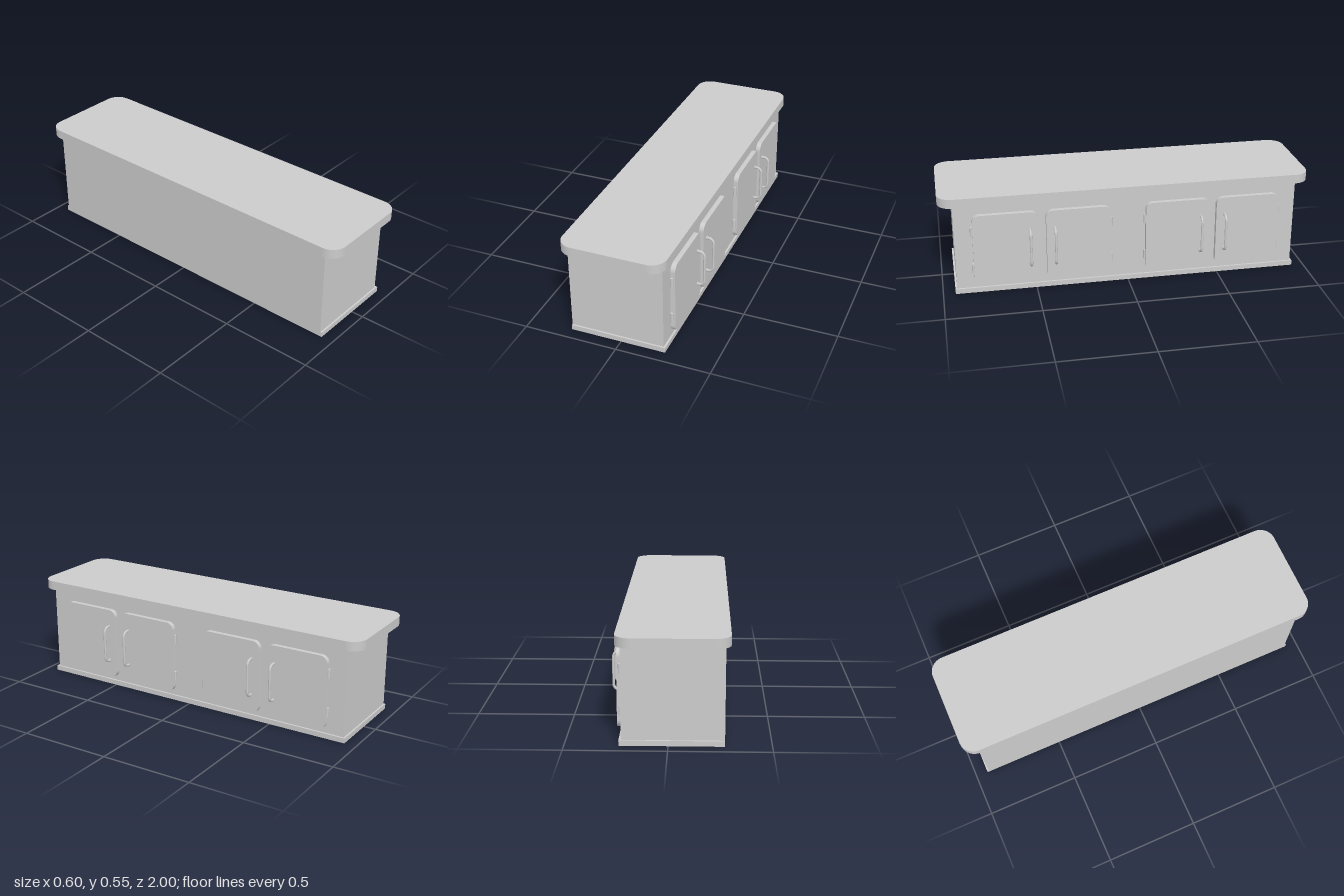
import * as THREE from 'three';

const material = new THREE.MeshStandardMaterial({ color: 0xcccccc });

function add(parent, name, geometry, x = 0, y = 0, z = 0) {
  const mesh = new THREE.Mesh(geometry, material);
  mesh.name = name;
  mesh.position.set(x, y, z);
  parent.add(mesh);
  return mesh;
}

// Slab with rounded corners, centred in its plane and extruded from 0 to depth
function roundedSlab(w, h, r, depth) {
  const x = w / 2, y = h / 2, s = new THREE.Shape();
  s.absarc(x - r, y - r, r, 0, Math.PI / 2);
  s.absarc(-x + r, y - r, r, Math.PI / 2, Math.PI);
  s.absarc(-x + r, -y + r, r, Math.PI, Math.PI * 1.5);
  s.absarc(x - r, -y + r, r, Math.PI * 1.5, Math.PI * 2);
  s.closePath();
  return new THREE.ExtrudeGeometry(s, { depth, bevelEnabled: false, curveSegments: 8 });
}

// Bow handle path: out of the door, up, and back in
function handlePath() {
  const v = (x, y) => new THREE.Vector3(x, y, 0);
  const out = 0.039, half = 0.101, r = 0.028;
  const path = new THREE.CurvePath();
  path.add(new THREE.LineCurve3(v(0, -half), v(out - r, -half)));
  path.add(new THREE.CubicBezierCurve3(v(out - r, -half), v(out - r * 0.45, -half), v(out, -half + r * 0.45), v(out, -half + r)));
  path.add(new THREE.LineCurve3(v(out, -half + r), v(out, half - r)));
  path.add(new THREE.CubicBezierCurve3(v(out, half - r), v(out, half - r * 0.45), v(out - r * 0.45, half), v(out - r, half)));
  path.add(new THREE.LineCurve3(v(out - r, half), v(0, half)));
  return path;
}

export function createModel() {
  const model = new THREE.Group();
  model.name = 'sideboard';

  // Carcass, plinth and rounded worktop
  add(model, 'body', new THREE.BoxGeometry(0.5, 0.476, 1.85), -0.023, 0.264, 0);
  add(model, 'plinth', new THREE.BoxGeometry(0.511, 0.027, 1.87), -0.0175, 0.0135, 0);
  const top = roundedSlab(0.55, 2, 0.08, 0.05).rotateX(-Math.PI / 2);
  add(model, 'worktop', top, -0.023, 0.502, 0);

  const doorGeo = roundedSlab(0.347, 0.4, 0.04, 0.025).rotateY(Math.PI / 2);
  const handleGeo = new THREE.TubeGeometry(handlePath(), 60, 0.007, 10);
  const flangeGeo = new THREE.CylinderGeometry(0.0095, 0.0095, 0.005, 12).rotateZ(Math.PI / 2);
  const hingeGeo = new THREE.CylinderGeometry(0.0085, 0.0085, 0.05, 10);

  // Two pairs of doors, mirrored; hinge is the direction from door centre to hinges
  for (const side of [1, -1]) {
    for (const [centre, hinge] of [[0.656, 1], [0.268, -1]]) {
      const door = new THREE.Group();
      door.name = 'doorUnit';
      door.position.set(0.227, 0.25, side * centre);
      model.add(door);
      const dir = side * hinge;
      add(door, 'door', doorGeo);
      add(door, 'handle', handleGeo, 0.025, 0.001, -dir * 0.128);
      for (const y of [-0.1, 0.102])
        add(door, 'handleFlange', flangeGeo, 0.0275, y, -dir * 0.128);
      for (const y of [-0.105, 0.106])
        add(door, 'hinge', hingeGeo, 0.0085, y, dir * 0.176);
    }
  }
  return model;
}
